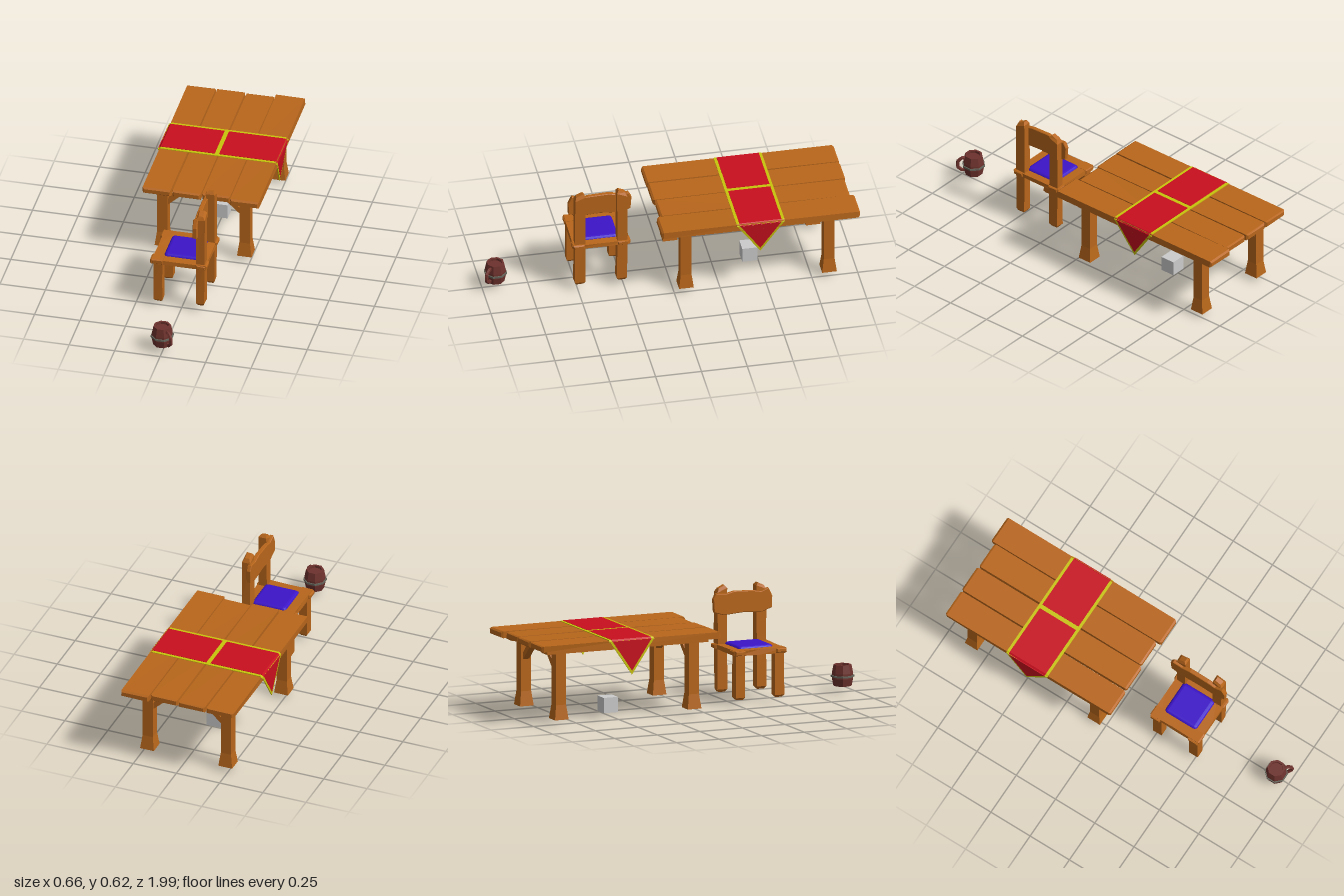
import * as THREE from 'three';
import { RoundedBoxGeometry } from 'three/addons/geometries/RoundedBoxGeometry.js';

const mat = (color) => new THREE.MeshStandardMaterial({ color, flatShading: true, side: THREE.DoubleSide });

export function createModel() {
  const model = new THREE.Group();
  const wood = mat(0xb8661b), red = mat(0xc80f1e), yellow = mat(0xc9c30c);
  const blue = mat(0x3c14c8), clay = mat(0x6e322d), iron = mat(0x66665c), grey = mat(0xcccccc);

  function add(parent, name, geometry, material) {
    const mesh = new THREE.Mesh(geometry, material);
    mesh.name = name;
    parent.add(mesh);
    return mesh;
  }
  function group(name) {
    const g = new THREE.Group();
    g.name = name;
    model.add(g);
    return g;
  }

  // Repeatable noise in -1..1, so that corners sharing a position move together
  const noise = (x, y, z, k) => {
    const s = Math.sin(x * 127.1 + y * 311.7 + z * 74.7 + k * 53.3) * 43758.5453;
    return (s - Math.floor(s)) * 2 - 1;
  };

  // Hand-hewn timber between two corners: chamfered ends, slightly uneven edges
  function timber(parent, name, x, y, z, rough = 0.003, chamfer = 0.007) {
    const lo = [x[0], y[0], z[0]], size = [x[1] - x[0], y[1] - y[0], z[1] - z[0]];
    const axis = size.indexOf(Math.max(...size));
    const seg = [1, 1, 1];
    seg[axis] = 4;
    const geo = new THREE.BoxGeometry(1, 1, 1, ...seg);
    const pos = geo.attributes.position;
    for (let i = 0; i < pos.count; i++) {
      const unit = [pos.getX(i), pos.getY(i), pos.getZ(i)];
      const t = Math.round((unit[axis] + 0.5) * 4);
      const along = [0, chamfer, size[axis] / 2, size[axis] - chamfer, size[axis]][t];
      const end = t === 0 || t === 4;
      const p = unit.map((u, a) => {
        if (a === axis) return lo[a] + along;
        const inset = (end ? chamfer * 0.7 : 0) + rough * Math.abs(noise(...unit, a + lo[0] * 9 + lo[2] * 5));
        return lo[a] + (u + 0.5) * size[a] - Math.sign(u) * inset;
      });
      pos.setXYZ(i, ...p);
    }
    geo.computeVertexNormals();
    return add(parent, name, geo, wood);
  }

  // ---- Table ----
  const table = group('table');
  [[-0.322, -0.163, -0.98, 0.07], [-0.157, 0, -0.982, 0.067],
    [0.004, 0.16, -0.976, 0.057], [0.162, 0.325, -1, 0.08]].forEach(([a, b, c, d], i) =>
    timber(table, 'plank' + (i + 1), [a, b], [0.406, 0.447], [c, d], 0.004, 0.01));

  for (const x of [-0.233, 0.219]) {
    timber(table, 'sideRail', [x - 0.037, x + 0.037], [0.386, 0.41], [-0.93, 0.02], 0.001, 0.002);
  }
  for (const z of [-0.845, -0.065]) {
    timber(table, 'endRail', [-0.2, 0.19], [0.387, 0.409], [z - 0.035, z + 0.035], 0.001, 0.002);
    for (const [x, s] of [[-0.235, 1], [0.218, -1]]) {
      // Leg with flared square foot
      const r = Math.SQRT2;
      const leg = new THREE.LatheGeometry([[0, 0.028], [0.04, 0.028], [0.0295, 0.108], [0.0295, 0.117],
        [0.0295, 0.4], [0, 0.4]].map(([w, h]) => new THREE.Vector2(w * r, h)), 4);
      leg.rotateY(Math.PI / 4);
      add(table, 'tableLeg', leg, wood).position.set(x, 0, z);
      // Diagonal brace from leg to end rail
      const brace = new THREE.Shape([[0.025, 0.278], [0.03, 0.32], [0.098, 0.39], [0.145, 0.39]]
        .map(([u, v]) => new THREE.Vector2(s * u, v)));
      add(table, 'brace', new THREE.ExtrudeGeometry(brace, { depth: 0.036, bevelEnabled: false }), wood)
        .position.set(x, 0, z - 0.018);
    }
  }

  // ---- Cloth runner ----
  const runner = group('runner');
  const mid = -0.457;
  // Strip of cloth following a path in x and y, extruded across z
  function strip(name, path, thick, width, material) {
    const pts = [...path, ...path.slice().reverse().map(([x, y]) => [x * 0.985, y - thick])];
    const shape = new THREE.Shape(pts.map(([x, y]) => new THREE.Vector2(x, y)));
    add(runner, name, new THREE.ExtrudeGeometry(shape, { depth: width, bevelEnabled: false }), material)
      .position.z = mid - width / 2;
  }
  strip('runnerTrim', [[-0.328, 0.438], [-0.316, 0.449], [0.314, 0.449], [0.327, 0.438]], 0.004, 0.262, yellow);
  strip('runnerPanel', [[-0.329, 0.438], [-0.317, 0.4505], [-0.02, 0.4505]], 0.003, 0.23, red);
  strip('runnerPanel', [[0.004, 0.4505], [0.315, 0.4505], [0.328, 0.438]], 0.003, 0.23, red);

  // Hanging pointed ends: yellow border with a red field showing on both faces
  function flapLayer(half, drop, thick) {
    const s = new THREE.Shape([new THREE.Vector2(-half, 0), new THREE.Vector2(0, -drop), new THREE.Vector2(half, 0)]);
    const g = new THREE.ExtrudeGeometry(s, { depth: thick, bevelEnabled: false });
    return g.translate(0, 0, -thick / 2).rotateY(Math.PI / 2);
  }
  for (const [x, lean] of [[-0.326, 0], [0.324, -0.085]]) {
    const flap = new THREE.Group();
    flap.name = 'hangingFlap';
    add(flap, 'flapTrim', flapLayer(0.13, 0.187, 0.005), yellow);
    add(flap, 'flapField', flapLayer(0.114, 0.166, 0.007), red);
    flap.position.set(x, 0.442, mid);
    flap.rotation.z = lean;
    runner.add(flap);
  }

  // ---- Chair, its back towards +x ----
  const chair = group('chair');
  for (const [z, s] of [[0.26, -1], [0.49, 1]]) {
    timber(chair, 'frontLeg', [-0.152, -0.1], [0.03, 0.29], [z - 0.029, z + 0.029], 0.004, 0.012);
    const post = timber(chair, 'backPost', [0.081, 0.131], [0.035, 0.615], [z - 0.03, z + 0.03], 0.004, 0.015);
    // Slanted top of the post
    const p = post.geometry.attributes.position;
    for (let i = 0; i < p.count; i++) {
      if (p.getY(i) > 0.59) p.setY(i, p.getY(i) - Math.max(0, s * (p.getZ(i) - z) + 0.01) * 0.6);
    }
    timber(chair, 'seatSideRail', [-0.17, 0.143], [0.272, 0.3], [z - 0.032 + s * 0.006, z + 0.032 + s * 0.006], 0.004);
  }
  timber(chair, 'seatFrontRail', [-0.16, -0.095], [0.27, 0.302], [0.22, 0.53], 0.004);
  timber(chair, 'seatBackRail', [0.08, 0.138], [0.271, 0.299], [0.215, 0.532], 0.004);

  // Uneven headrest board
  const board = new THREE.Shape([[-0.168, 0.48], [-0.11, 0.46], [0, 0.466], [0.11, 0.458], [0.165, 0.475], [0.17, 0.545],
    [0.155, 0.572], [0.1, 0.566], [0.05, 0.578], [-0.06, 0.574], [-0.11, 0.565], [-0.15, 0.582], [-0.17, 0.54]]
    .map(([u, v]) => new THREE.Vector2(u, v)));
  const boardGeo = new THREE.ExtrudeGeometry(board, { depth: 0.018, bevelSize: 0.003, bevelThickness: 0.003, bevelSegments: 1 });
  boardGeo.rotateY(Math.PI / 2);
  add(chair, 'headrest', boardGeo, wood).position.set(0.072, 0, 0.375);

  const cushion = new RoundedBoxGeometry(0.2, 0.054, 0.205, 2, 0.02);
  add(chair, 'cushion', cushion, blue).position.set(-0.006, 0.284, 0.375);

  // ---- Mug, handle pointing diagonally to +x +z ----
  const mug = group('mug');
  mug.position.set(-0.006, 0, 0.925);
  const cup = [[0, 0.036], [0.049, 0.036], [0.057, 0.075], [0.057, 0.105], [0.048, 0.151], [0.036, 0.151], [0.036, 0.138], [0, 0.138]];
  const cupGeo = new THREE.LatheGeometry(cup.map(([r, y]) => new THREE.Vector2(r, y)), 8);
  add(mug, 'cup', cupGeo.rotateY(Math.PI / 8), clay);
  const hoop = [[0.054, 0.084], [0.063, 0.084], [0.063, 0.094], [0.054, 0.094]];
  const hoopGeo = new THREE.LatheGeometry(hoop.map(([r, y]) => new THREE.Vector2(r, y)), 8);
  add(mug, 'hoop', hoopGeo.rotateY(Math.PI / 8), iron);
  const handlePath = new THREE.CurvePath();
  const hp = [[0.044, 0.132], [0.064, 0.132], [0.086, 0.112], [0.086, 0.077], [0.064, 0.056], [0.046, 0.06]]
    .map(([r, y]) => new THREE.Vector3(r, y, 0));
  for (let i = 1; i < hp.length; i++) handlePath.add(new THREE.LineCurve3(hp[i - 1], hp[i]));
  add(mug, 'handle', new THREE.TubeGeometry(handlePath, 14, 0.01, 5), clay).rotation.y = -Math.PI / 4;

  // ---- Block under the table ----
  add(model, 'block', new THREE.BoxGeometry(0.083, 0.083, 0.083), grey).position.set(-0.008, 0.0415, -0.455);

  return model;
}
